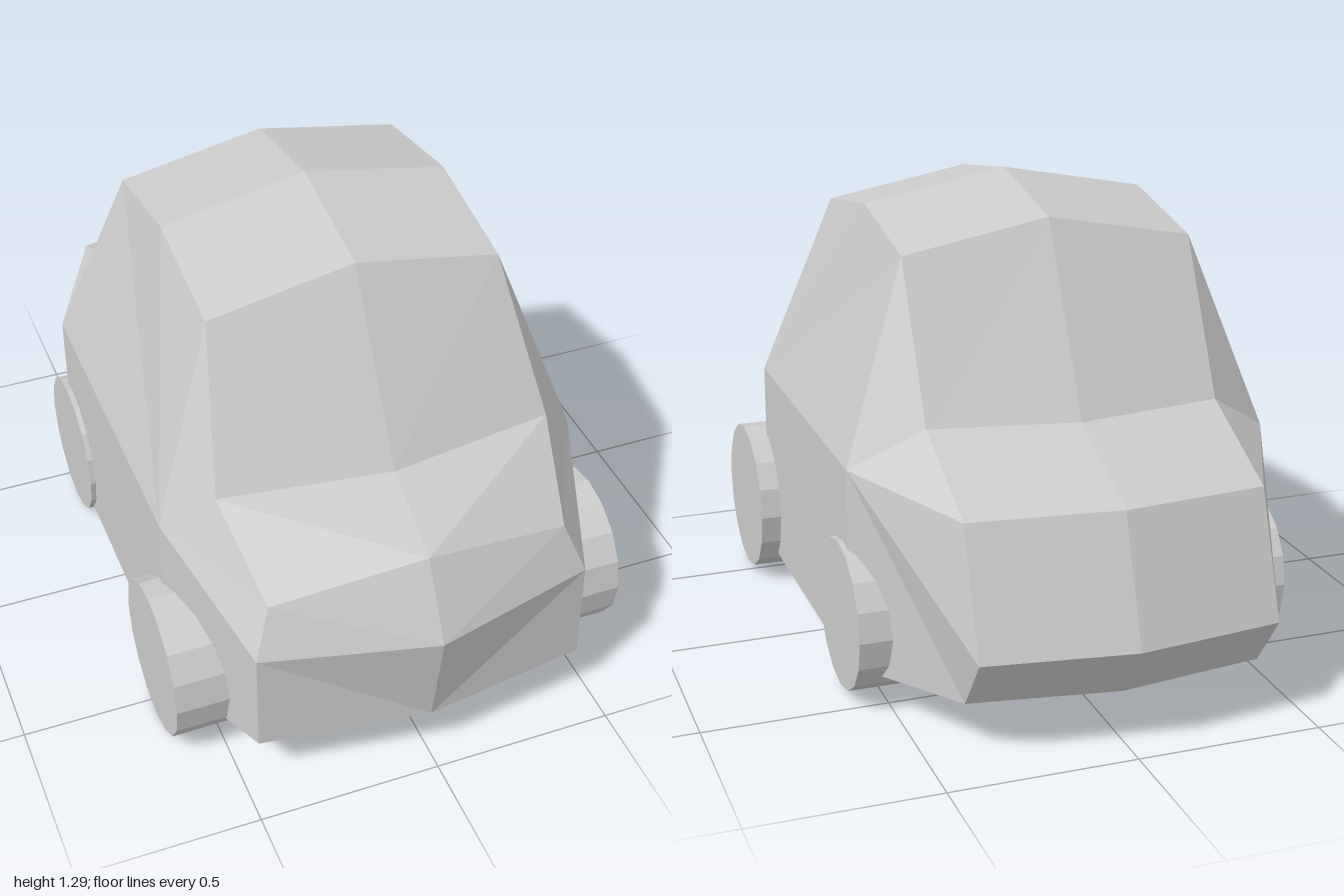
import * as THREE from 'three';

const material = new THREE.MeshStandardMaterial({ color: 0xcccccc, flatShading: true });

// Body loop from the front bottom, up over the roof, and back underneath.
// Each row: centre line [y, z], then edge point [x, y, z].
const rows = [
  [[0.155, 0.945], [0.46, 0.155, 0.88]],   // front sill
  [[0.46, 1.0], [0.46, 0.455, 0.88]],      // nose
  [[0.665, 0.89], [0.41, 0.59, 0.835]],    // hood front
  [[0.77, 0.665], [0.46, 0.77, 0.60]],     // windscreen base
  [[1.235, 0.385], [0.40, 1.16, 0.385]],   // windscreen top
  [[1.295, 0.03], [0.40, 1.22, 0.03]],     // roof peak
  [[1.23, -0.32], [0.40, 1.155, -0.32]],   // rear window top
  [[0.75, -0.58], [0.40, 0.755, -0.525]],  // rear window base
  [[0.62, -0.88], [0.40, 0.615, -0.825]],  // trunk edge
  [[0.29, -1.0], [0.40, 0.29, -0.945]],    // rear bumper
  [[0.135, -0.885], [0.40, 0.14, -0.835]], // rear sill
  [[0.087, -0.43], [0.585, 0.087, -0.43]], // floor rear
  [[0.085, 0.5], [0.585, 0.085, 0.5]],     // floor front
];
const beltFront = [0.585, 0.635, 0.5];
const beltRear = [0.585, 0.635, -0.43];

function buildBody() {
  const positions = [];
  // Adds a triangle and its mirror image
  const tri = (a, b, c) => {
    positions.push(...a, ...b, ...c);
    for (const p of [a, c, b]) positions.push(-p[0], p[1], p[2]);
  };
  rows.forEach(([centre, edge], i) => {
    const [nextCentre, nextEdge] = rows[(i + 1) % rows.length];
    const c0 = [0, ...centre], c1 = [0, ...nextCentre];
    // Crowned strip from the centre line to the edge
    tri(c0, edge, nextEdge);
    tri(c0, nextEdge, c1);
    // Side panels fan out from the two belt points
    tri(i >= 6 && i <= 10 ? beltRear : beltFront, nextEdge, edge);
  });
  tri(beltFront, beltRear, rows[6][1]);
  tri(beltFront, rows[11][1], beltRear);

  const geometry = new THREE.BufferGeometry();
  geometry.setAttribute('position', new THREE.Float32BufferAttribute(positions, 3));
  geometry.computeVertexNormals();
  const body = new THREE.Mesh(geometry, material);
  body.name = 'body';
  return body;
}

function buildWheel(name, radius, width, x, y, z) {
  const geometry = new THREE.CylinderGeometry(radius, radius, width, 16);
  geometry.rotateZ(Math.PI / 2);
  const wheel = new THREE.Mesh(geometry, material);
  wheel.name = name;
  wheel.position.set(x, y, z);
  return wheel;
}

export function createModel() {
  const model = new THREE.Group();
  model.name = 'car';
  const car = new THREE.Group();
  car.name = 'carBodyAndWheels';
  car.rotation.z = 0.007; // slight lean to one side
  car.add(buildBody());
  for (const side of [1, -1]) {
    const label = side > 0 ? 'Left' : 'Right';
    car.add(buildWheel(`front${label}Wheel`, 0.216, 0.21, side * 0.537, 0.223, 0.55));
    car.add(buildWheel(`rear${label}Wheel`, 0.204, 0.21, side * 0.495, 0.221, -0.387));
  }
  model.add(car);
  return model;
}
